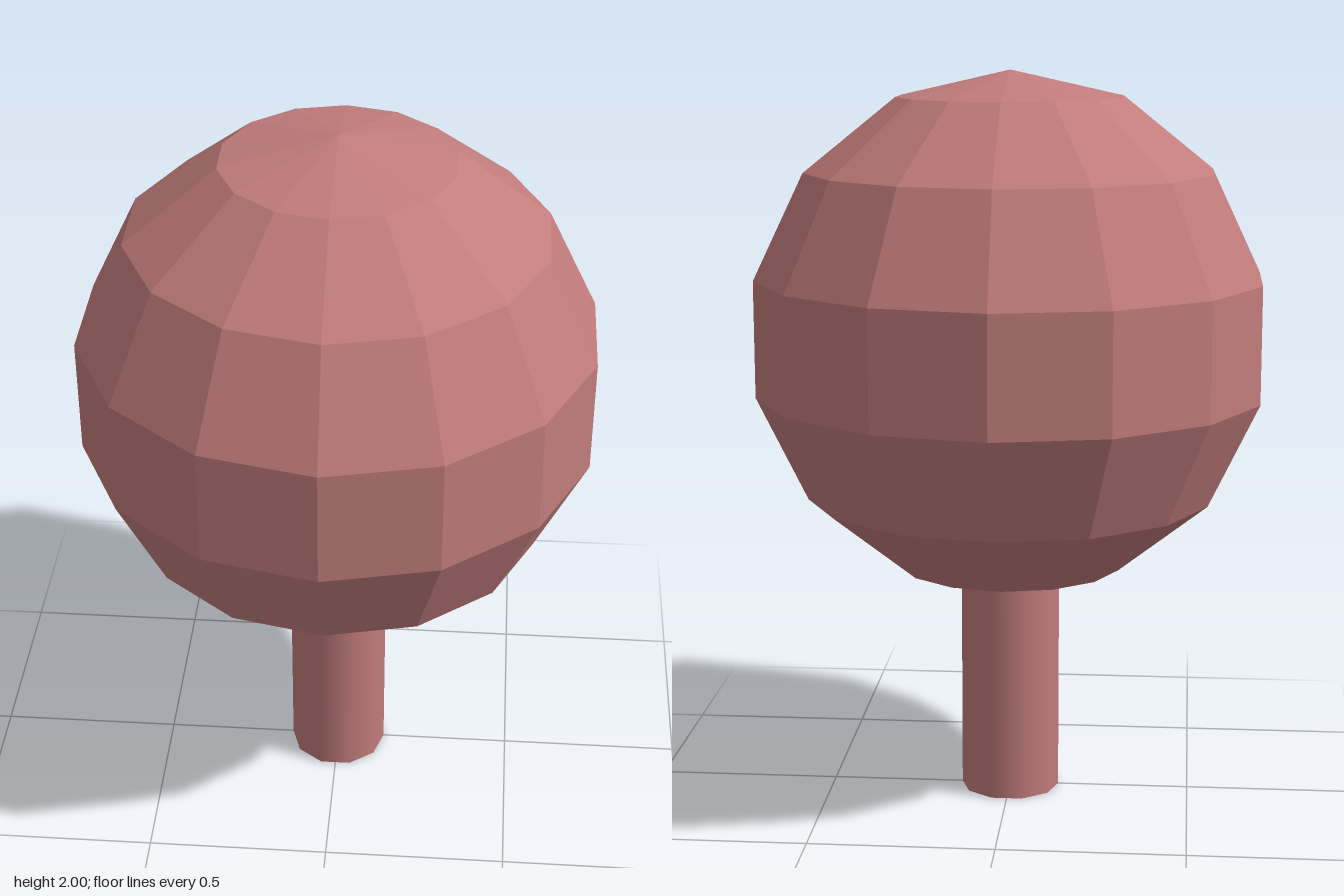
import * as THREE from 'three';

const COLOR = 0xc27c7c;

export function createModel() {
  const model = new THREE.Group();
  model.name = 'tree';

  // Faceted round crown, with corners pointing to the front and back
  const radius = 0.712;
  const crown = new THREE.Mesh(
    new THREE.SphereGeometry(radius, 14, 7, Math.PI / 2),
    new THREE.MeshStandardMaterial({ color: COLOR, flatShading: true })
  );
  crown.name = 'crown';
  crown.position.y = 2 - radius;
  model.add(crown);

  // Smooth ten-sided trunk, an open tube that ends just inside the crown
  const height = 0.64;
  const trunk = new THREE.Mesh(
    new THREE.CylinderGeometry(0.136, 0.136, height, 10, 1, true, Math.PI / 2),
    new THREE.MeshStandardMaterial({ color: COLOR, side: THREE.DoubleSide })
  );
  trunk.name = 'trunk';
  trunk.position.y = height / 2;
  model.add(trunk);

  return model;
}
